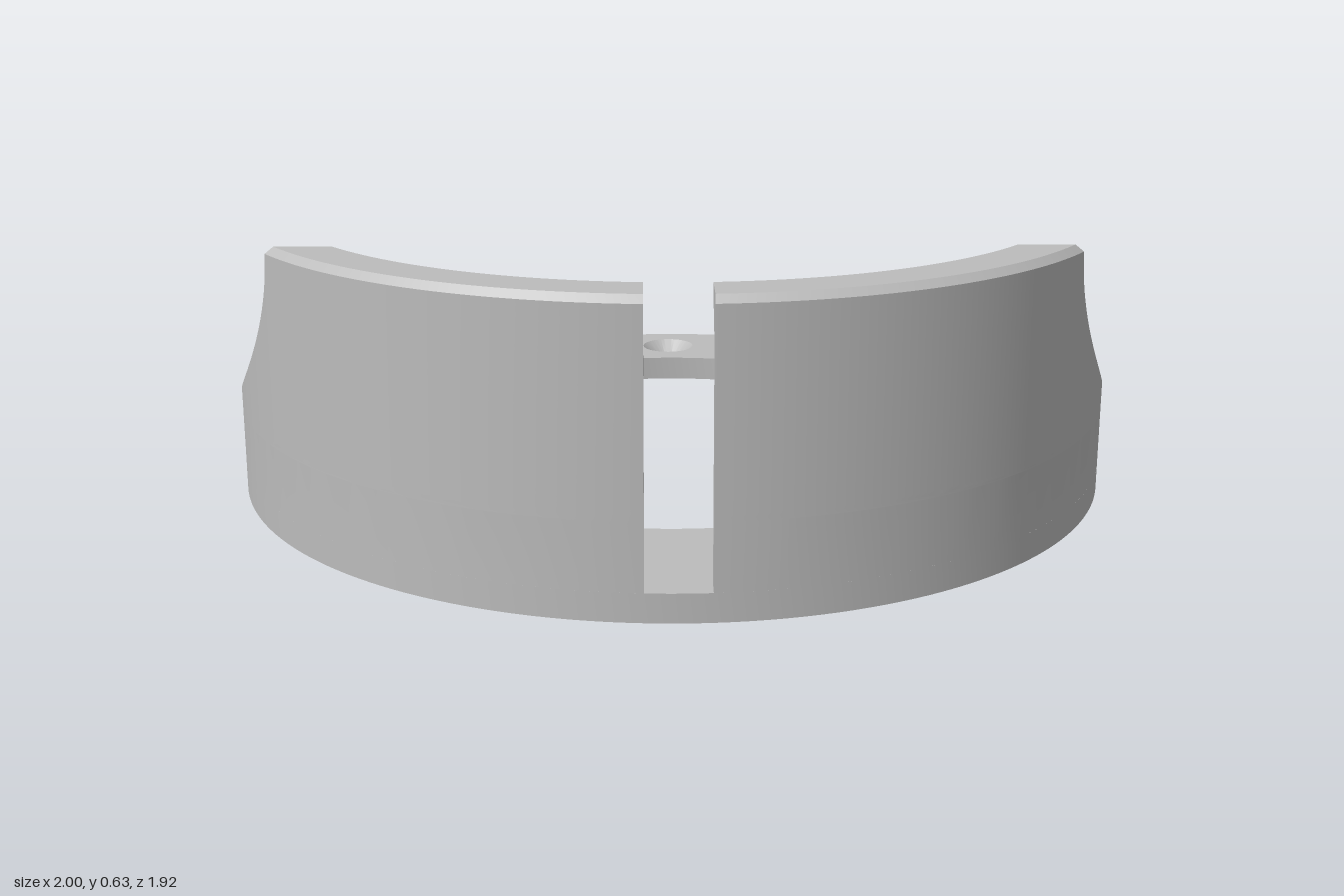
import * as THREE from 'three';
import { toCreasedNormals } from 'three/addons/utils/BufferGeometryUtils.js';

const BASE_H = 0.06, TOP = 0.63, LOW = 0.2;   // plate, wall top, wall low end
const CUT_Z = 0.555, SLOT = 0.065;            // scooped cut depth, half slot width

// Flat ring, wider under the front wall, with three countersunk screw holes
function baseGeometry() {
  const shape = new THREE.Shape();
  shape.absarc(0, 0, 0.925, 0, Math.PI, false);
  shape.absarc(0, 0, 1, Math.PI, Math.PI * 2, false);
  shape.closePath();
  const addHole = (x, y, r) => {
    const hole = new THREE.Path();
    hole.absarc(x, y, r, 0, Math.PI * 2, true);
    shape.holes.push(hole);
  };
  addHole(0, 0, 0.663);
  const screws = [90, 210, 330].map(d => {
    const a = THREE.MathUtils.degToRad(d);
    return new THREE.Vector2(0.796 * Math.cos(a), 0.796 * Math.sin(a));
  });
  screws.forEach(s => addHole(s.x, s.y, 0.07));
  const geo = new THREE.ExtrudeGeometry(shape, { depth: BASE_H, steps: 2, bevelEnabled: false, curveSegments: 72 });

  // narrow the lower part of each screw hole, leaving a cone above
  const p = geo.attributes.position;
  for (let i = 0; i < p.count; i++) {
    if (p.getZ(i) > 0.05) continue;
    const v = new THREE.Vector2(p.getX(i), p.getY(i));
    const s = screws.find(c => c.distanceTo(v) < 0.075);
    if (!s) continue;
    v.sub(s).setLength(0.037).add(s);
    p.setXY(i, v.x, v.y);
  }
  geo.rotateX(-Math.PI / 2);
  return toCreasedNormals(geo, 0.5);
}

// Wall section: radii at each height, and where the scooped end lies
const outerR = y => 1 - Math.max(0, y - 0.615);
const innerR = y => 0.955 - 0.065 * THREE.MathUtils.clamp((y - 0.53) / 0.075, 0, 1);
const endZ = y => y <= LOW ? 0 : CUT_Z * Math.sqrt(Math.max(0, 1 - ((TOP - y) / (TOP - LOW)) ** 2));

// One half of the front wall with its inner lip, from scooped end to slot
function wallGeometry(side) {
  const ys = [BASE_H, 0.53, 0.605, 0.615];
  for (let i = 0; i <= 24; i++) ys.push(TOP - (TOP - LOW) * Math.cos(i / 24 * Math.PI / 2));
  ys.sort((a, b) => a - b);
  const N = 48, pos = [];
  const point = (radius, y, t) => {
    const r = radius(y);
    const a = THREE.MathUtils.lerp(Math.asin(endZ(y) / r), Math.acos(SLOT / r), t);
    return [side * r * Math.cos(a), y, r * Math.sin(a)];
  };
  const quad = (a, b, c, d) => {
    const q = side > 0 ? [a, b, c, a, c, d] : [a, c, b, a, d, c];
    q.forEach(v => pos.push(...v));
  };
  for (let j = 0; j < ys.length - 1; j++) {
    const y = ys[j], h = ys[j + 1];
    for (let i = 0; i < N; i++) {
      const t = i / N, u = (i + 1) / N;
      quad(point(outerR, y, u), point(outerR, y, t), point(outerR, h, t), point(outerR, h, u));
      quad(point(innerR, y, t), point(innerR, y, u), point(innerR, h, u), point(innerR, h, t));
    }
    // scooped end and slot end
    quad(point(outerR, y, 0), point(innerR, y, 0), point(innerR, h, 0), point(outerR, h, 0));
    quad(point(innerR, y, 1), point(outerR, y, 1), point(outerR, h, 1), point(innerR, h, 1));
  }
  // top face
  for (let i = 0; i < N; i++) {
    const t = i / N, u = (i + 1) / N;
    quad(point(innerR, TOP, t), point(innerR, TOP, u), point(outerR, TOP, u), point(outerR, TOP, t));
  }
  const geo = new THREE.BufferGeometry();
  geo.setAttribute('position', new THREE.Float32BufferAttribute(pos, 3));
  return toCreasedNormals(geo, 0.5);
}

export function createModel() {
  const group = new THREE.Group();
  group.name = 'mountingRing';
  const grey = new THREE.MeshStandardMaterial({ color: 0xbcbcbc });
  grey.name = 'grey';
  const add = (name, geo) => {
    const mesh = new THREE.Mesh(geo, grey);
    mesh.name = name;
    mesh.position.z = -0.0375;
    group.add(mesh);
  };
  add('baseRing', baseGeometry());
  add('leftWall', wallGeometry(1));
  add('rightWall', wallGeometry(-1));
  return group;
}
